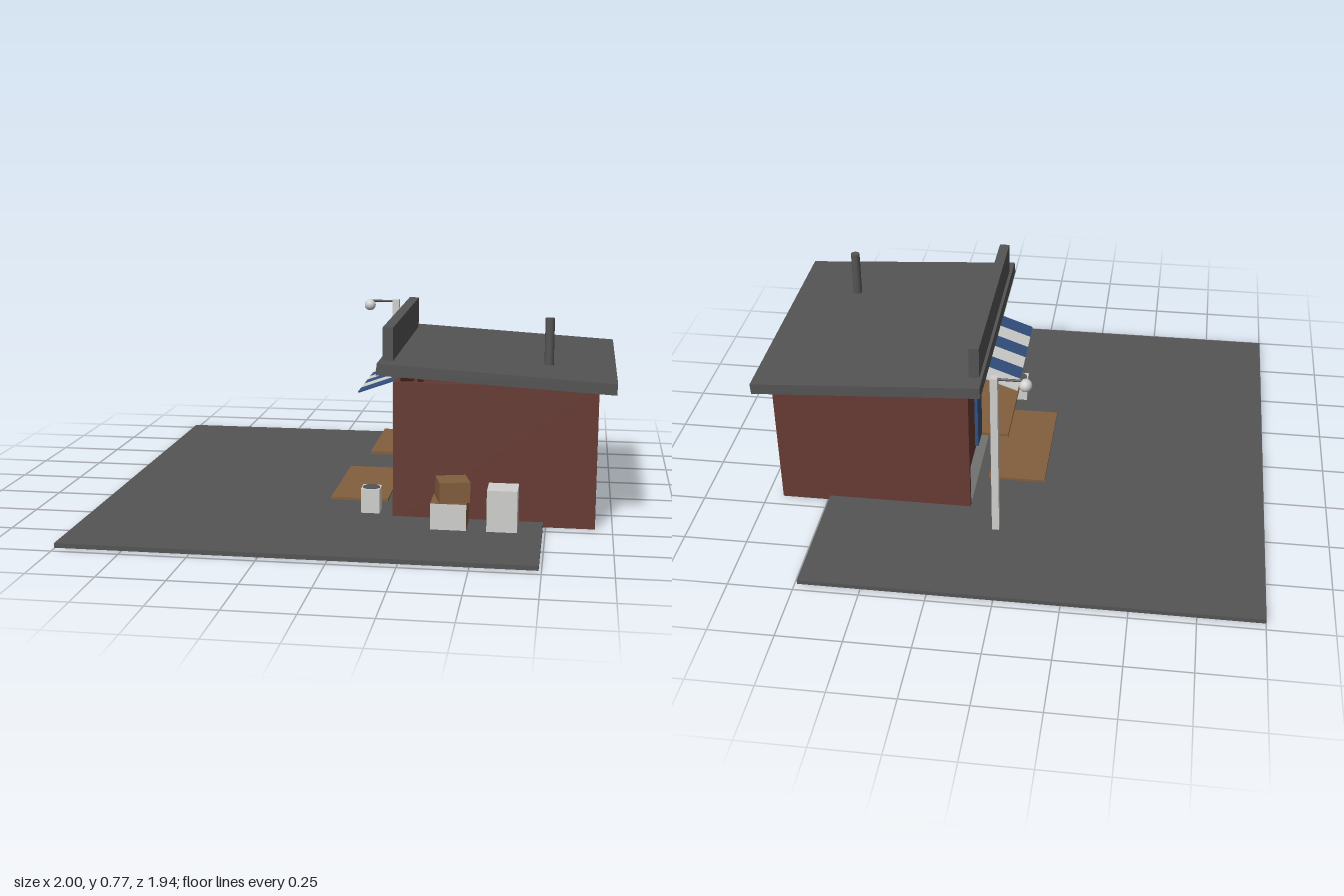
import * as THREE from 'three';

const paint = (name, color) => {
  const m = new THREE.MeshStandardMaterial({ color });
  m.name = name;
  return m;
};

export function createModel() {
  const model = new THREE.Group();
  model.name = 'kiosk';
  const asphalt = paint('asphalt', 0x545454);
  const brick = paint('brick', 0x673b34);
  const white = paint('offWhite', 0xd0d0ce);
  const wood = paint('wood', 0x835f3f);
  const blue = paint('blue', 0x34507f);
  const tan = paint('tan', 0x85755a);

  const add = (name, geometry, material, parent = model) => {
    const mesh = new THREE.Mesh(geometry, material);
    mesh.name = name;
    parent.add(mesh);
    return mesh;
  };
  // Box given by its limits on each axis
  const box = (name, material, [x0, x1], [y0, y1], [z0, z1], parent) => {
    const mesh = add(name, new THREE.BoxGeometry(x1 - x0, y1 - y0, z1 - z0), material, parent);
    mesh.position.set((x0 + x1) / 2, (y0 + y1) / 2, (z0 + z1) / 2);
    return mesh;
  };

  // Pavement and doormat
  box('pavement', asphalt, [-1, 0.74], [0.003, 0.02], [-0.97, 0.97]);
  box('doormat', wood, [-0.11, 0.12], [0.02, 0.03], [-0.25, 0.25]);

  // Walls around an open serving window that faces -x
  const walls = new THREE.Group();
  walls.name = 'walls';
  model.add(walls);
  const t = 0.02, H = 0.545;
  for (const s of [-1, 1]) {
    const span = (a, b) => (s > 0 ? [a, b] : [-b, -a]);
    box('sideWall', brick, [0.165, 0.935], [0, H], span(0.445 - t, 0.445), walls);
    box('windowPier', brick, [0.165, 0.165 + t], [0.2, 0.455], span(0.2, 0.445 - t), walls);
    box('shutter', blue, [0.152, 0.165], [0.215, 0.455], span(0.2, 0.3));
  }
  box('lintel', brick, [0.165, 0.165 + t], [0.455, H], [-0.425, 0.425], walls);
  box('counterPanel', white, [0.165, 0.165 + t], [0, 0.2], [-0.425, 0.425], walls);
  box('backWall', white, [0.935 - t, 0.9355], [0, H], [-0.4445, 0.4445], walls);
  box('backLining', tan, [0.908, 0.915], [0.03, H], [-0.425, 0.425], walls);
  box('floor', tan, [0.185, 0.915], [0.004, 0.028], [-0.425, 0.425], walls);
  box('counter', wood, [0.045, 0.2], [0.2, 0.213], [-0.2, 0.2]);

  // Sloping roof slab with upright sign board and chimney
  const profile = new THREE.Shape([
    [0.107, 0.58], [0.998, 0.53], [1, 0.573], [0.11, 0.625],
  ].map(([x, y]) => new THREE.Vector2(x, y)));
  const roof = new THREE.ExtrudeGeometry(profile, { depth: 1.01, bevelEnabled: false });
  roof.translate(0, 0, -0.505);
  add('roof', roof, asphalt);
  box('signBoard', asphalt, [0.122, 0.162], [0.6, 0.75], [-0.427, 0.427]);
  add('chimney', new THREE.CylinderGeometry(0.018, 0.018, 0.2, 16), asphalt).position.set(0.743, 0.67, 0.23);

  // Striped awning over the counter
  const awning = new THREE.Group();
  awning.name = 'awning';
  awning.position.set(0.0825, 0.49, 0);
  awning.rotation.z = Math.atan2(0.06, 0.165);
  model.add(awning);
  const w = 0.49 / 6;
  for (let i = 0; i < 6; i++) {
    const z = -0.247 + i * w;
    box('awningStripe', i % 2 ? blue : white, [-0.088, 0.088], [-0.003, 0.003], [z, z + w], awning);
  }

  // Street lamp
  box('lampPost', white, [0.031, 0.059], [0.02, 0.72], [-0.579, -0.551]);
  const arm = add('lampArm', new THREE.CylinderGeometry(0.005, 0.005, 0.11, 8), asphalt);
  arm.rotation.z = Math.PI / 2;
  arm.position.set(-0.02, 0.712, -0.565);
  add('lampGlobe', new THREE.SphereGeometry(0.025, 16, 12), white).position.set(-0.072, 0.694, -0.565);

  // Litter bin with a dark round opening
  box('bin', white, [0.037, 0.11], [0.02, 0.115], [0.348, 0.421]);
  add('binOpening', new THREE.CylinderGeometry(0.033, 0.033, 0.003, 20), asphalt).position.set(0.0735, 0.116, 0.3845);

  // Crates by the side wall
  box('lowerCrate', [wood, white, wood, white, white, white], [0.325, 0.46], [0.02, 0.12], [0.47, 0.6]);
  const crate = box('upperCrate', wood, [0.345, 0.46], [0.12, 0.2], [0.478, 0.588]);
  crate.rotation.y = 0.25;
  box('tallCrate', white, [0.535, 0.648], [0.02, 0.178], [0.485, 0.6]);

  return model;
}
